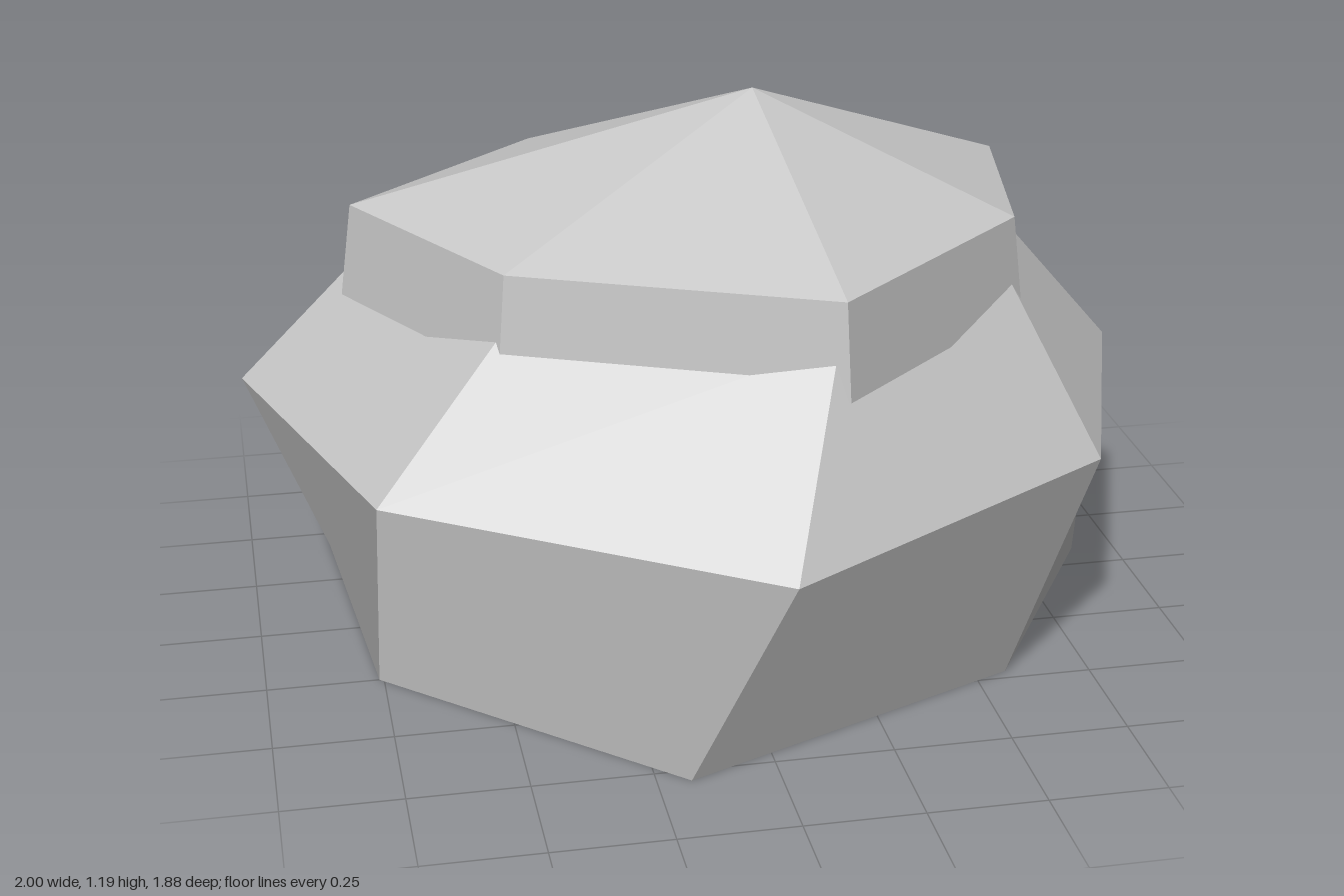
import * as THREE from 'three';

// Faceted solid lofted through stacked rings of [x, z] corners, each at a height
function loft(rings, apex) {
  const positions = [], normals = [];
  const point = (ring, i) => {
    const [x, z] = ring.corners[i % ring.corners.length];
    return new THREE.Vector3(x, ring.y, z);
  };
  const centre = (ring) => {
    const sum = new THREE.Vector3();
    ring.corners.forEach((_, i) => sum.add(point(ring, i)));
    return sum.divideScalar(ring.corners.length);
  };
  // One flat-looking facet of three or four corners, sharing a single normal
  const facet = (a, b, c, d = a) => {
    const normal = c.clone().sub(a).cross(d.clone().sub(b)).normalize();
    const corners = d === a ? [a, b, c] : [a, b, c, a, c, d];
    for (const p of corners) {
      positions.push(...p);
      normals.push(...normal);
    }
  };
  const first = rings[0], last = rings[rings.length - 1];
  const low = centre(first), high = apex || centre(last);
  for (let i = 0; i < first.corners.length; i++) {
    facet(low, point(first, i + 1), point(first, i));
    for (let r = 0; r + 1 < rings.length; r++) {
      const lower = rings[r], upper = rings[r + 1];
      facet(point(lower, i), point(lower, i + 1), point(upper, i + 1), point(upper, i));
    }
    facet(point(last, i), point(last, i + 1), high);
  }
  const geometry = new THREE.BufferGeometry();
  geometry.setAttribute('position', new THREE.Float32BufferAttribute(positions, 3));
  geometry.setAttribute('normal', new THREE.Float32BufferAttribute(normals, 3));
  return geometry;
}

const scaled = (corners, k) => corners.map(([x, z]) => [x * k, z * k]);

export function createModel() {
  const group = new THREE.Group();
  group.name = 'boulder';
  const stone = new THREE.MeshStandardMaterial({ color: 0xc8c8c8 });
  stone.name = 'light grey stone';

  // Corners run from the -x side round the front to the +x side and back
  const foot = [[-0.82, -0.44], [-0.76, 0.25], [-0.18, 0.79], [0.57, 0.47], [0.9, -0.08], [0.68, -0.74], [-0.13, -0.74]];
  const waist = [[-1, -0.33], [-0.76, 0.43], [0, 0.94], [0.76, 0.47], [1, -0.23], [0.58, -0.94], [-0.31, -0.82]];
  const brim = [[-0.75, -0.14], [-0.48, 0.36], [0.16, 0.64], [0.63, 0.21], [0.72, -0.28], [0.31, -0.73], [-0.31, -0.54]];

  // Wide lower stone, narrowing inside the cap
  const base = new THREE.Mesh(loft([
    { y: 0, corners: foot },
    { y: 0.485, corners: waist },
    { y: 0.85, corners: scaled(brim, 0.955) },
  ]), stone);
  base.name = 'lowerStone';

  // Cap stone with a flared rim and an off-centre peak
  const cap = new THREE.Mesh(loft([
    { y: 0.74, corners: scaled(brim, 1.035) },
    { y: 0.945, corners: brim },
  ], new THREE.Vector3(0.11, 1.19, -0.03)), stone);
  cap.name = 'capStone';

  group.add(base, cap);
  return group;
}
